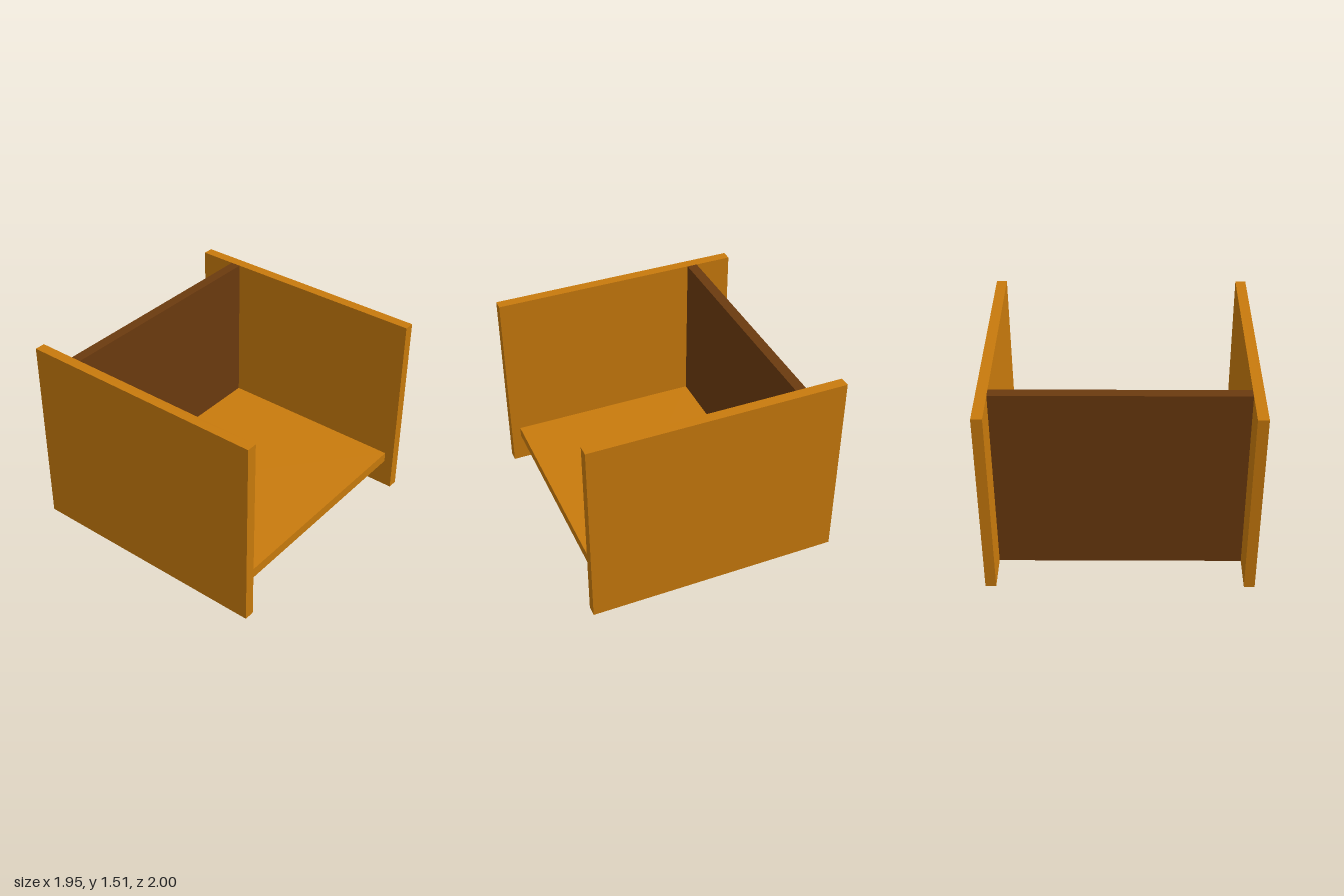
import * as THREE from 'three';

const LENGTH = 1.945, HEIGHT = 1.51, BOARD = 0.08;
const INNER = 2 - 2 * BOARD; // clear width between the two side panels

export function createModel() {
  const group = new THREE.Group();
  const lightWood = new THREE.MeshStandardMaterial({ color: 0xc87a0c });
  const darkWood = new THREE.MeshStandardMaterial({ color: 0x6b3a0e });

  const board = (name, size, position, material) => {
    const mesh = new THREE.Mesh(new THREE.BoxGeometry(...size), material);
    mesh.name = name;
    mesh.position.set(...position);
    group.add(mesh);
  };

  // Two upright side panels
  for (const [name, s] of [['frontPanel', 1], ['rearPanel', -1]]) {
    board(name, [LENGTH, HEIGHT, BOARD], [0, HEIGHT / 2, s * (1 - BOARD / 2)], lightWood);
  }

  // Dark upright divider joining the panels
  board('divider', [BOARD, HEIGHT, INNER], [-0.647, HEIGHT / 2, 0], darkWood);

  // Low shelf running from the divider to the open end
  board('shelf', [1.507, BOARD, INNER], [0.1465, 0.27, 0], lightWood);

  return group;
}
